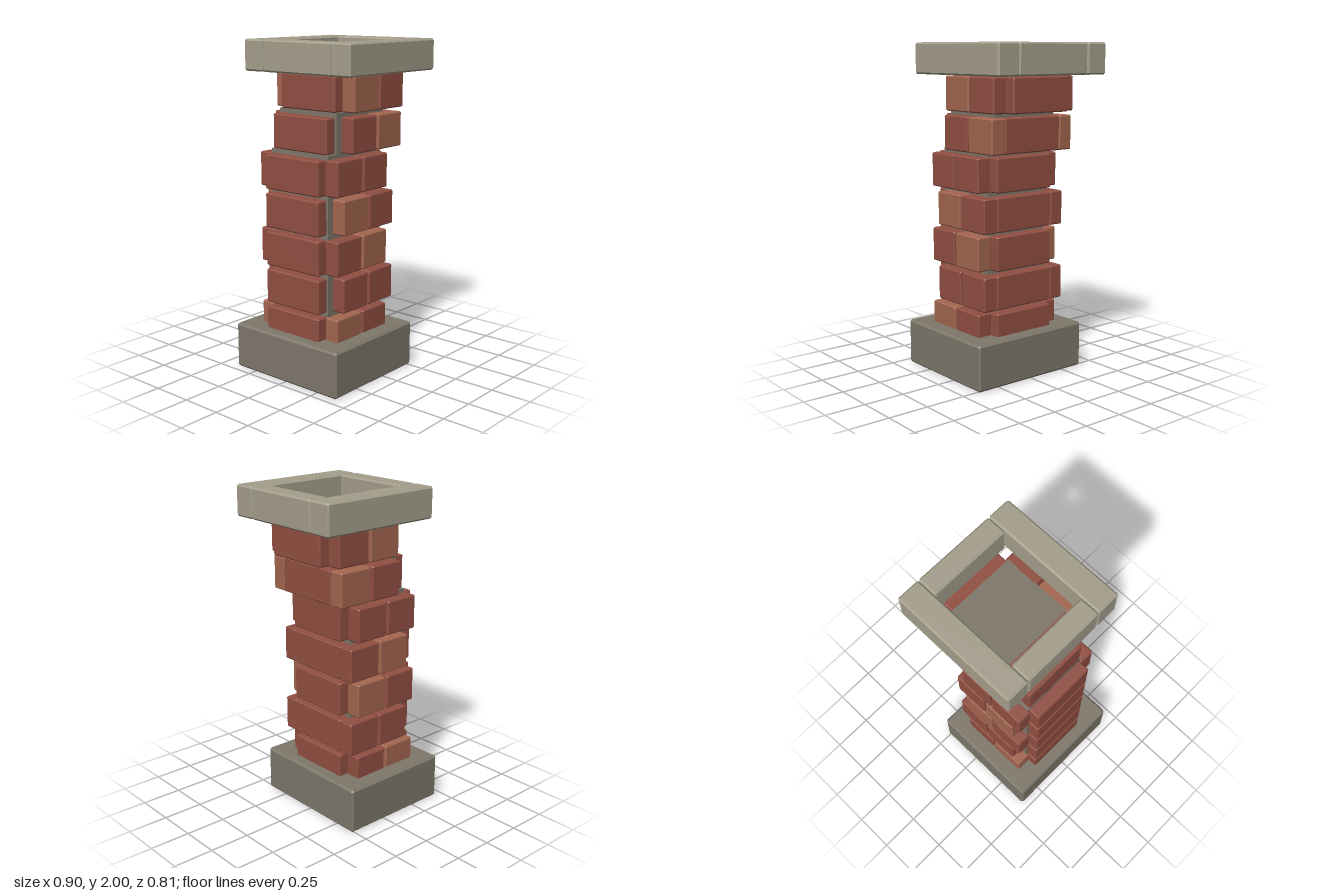
import * as THREE from 'three';
import { ConvexGeometry } from 'three/addons/geometries/ConvexGeometry.js';

const material = (color) => new THREE.MeshStandardMaterial({ color, flatShading: true });

// Box with all edges chamfered by c: three corner points per box corner
function chamferBox(w, h, d, c) {
  const points = [];
  for (const sx of [-1, 1]) for (const sy of [-1, 1]) for (const sz of [-1, 1]) {
    const [x, y, z] = [sx * w / 2, sy * h / 2, sz * d / 2];
    points.push(
      new THREE.Vector3(x, y - sy * c, z - sz * c),
      new THREE.Vector3(x - sx * c, y, z - sz * c),
      new THREE.Vector3(x - sx * c, y - sy * c, z));
  }
  return new ConvexGeometry(points);
}

export function createModel() {
  const model = new THREE.Group();
  model.name = 'brickPillar';

  const darkStone = material(0x7e776a);
  const paleStone = material(0xa49e8b);
  const brick = material(0x914f42);
  const paleBrick = material(0xa3664f);

  // Add a block given its [min, max] on each axis
  function block(parent, name, mat, [x0, x1], [y0, y1], [z0, z1], chamfer) {
    const [w, h, d] = [x1 - x0, y1 - y0, z1 - z0];
    const geometry = chamfer ? chamferBox(w, h, d, chamfer) : new THREE.BoxGeometry(w, h, d);
    const mesh = new THREE.Mesh(geometry, mat);
    mesh.name = name;
    mesh.position.set((x0 + x1) / 2, (y0 + y1) / 2, (z0 + z1) / 2);
    parent.add(mesh);
  }

  // Footing slab
  block(model, 'base', darkStone, [-0.453, 0.269], [0, 0.28], [-0.4, 0.4], 0.012);

  // Brick courses around a mortar core; the top two courses have slid sideways
  const pitch = 0.232, brickHeight = 0.206, half = 0.288;
  const centres = [-0.092, -0.092, -0.092, -0.092, -0.092, -0.019, 0.054];
  centres.forEach((cx, i) => {
    const course = new THREE.Group();
    course.name = `course${i + 1}`;
    course.position.set(cx, 0.21 + i * pitch, 0);
    model.add(course);

    const coreTop = i === 6 ? brickHeight : pitch;
    block(course, 'mortarCore', darkStone, [-0.215, 0.215], [0, coreTop], [-0.219, 0.219], 0);

    const y = [0, brickHeight];
    const shift = i % 2 ? 0.058 : 0;
    for (const side of [-1, 1]) {
      // One long brick on the left and right
      const sx = [side * half, side * 0.193].sort((a, b) => a - b);
      block(course, 'sideBrick', brick, sx, y, [-0.206, 0.206], 0.007);

      // Two short bricks on the front and back, offset on alternate courses
      const sz = [side * 0.302, side * 0.207].sort((a, b) => a - b);
      for (let j = 0; j < 2; j++) {
        const x0 = -0.229 + j * 0.235 + shift;
        const mat = (i + j) % 3 === 0 ? paleBrick : brick;
        block(course, side > 0 ? 'frontBrick' : 'backBrick', mat, [x0, x0 + 0.222], y, sz, 0.007);
      }
    }
  });

  // Open capping ring of four stones, aligned with the top course
  const cap = new THREE.Group();
  cap.name = 'cap';
  cap.position.x = 0.055;
  model.add(cap);
  const capY = [1.815, 2];
  block(cap, 'frontCapStone', paleStone, [-0.396, 0.396], capY, [0.257, 0.403], 0.01);
  block(cap, 'backCapStone', paleStone, [-0.396, 0.396], capY, [-0.403, -0.257], 0.01);
  block(cap, 'rightCapStone', paleStone, [-0.396, -0.271], capY, [-0.255, 0.255], 0.01);
  block(cap, 'leftCapStone', paleStone, [0.271, 0.396], capY, [-0.255, 0.255], 0.01);

  return model;
}
